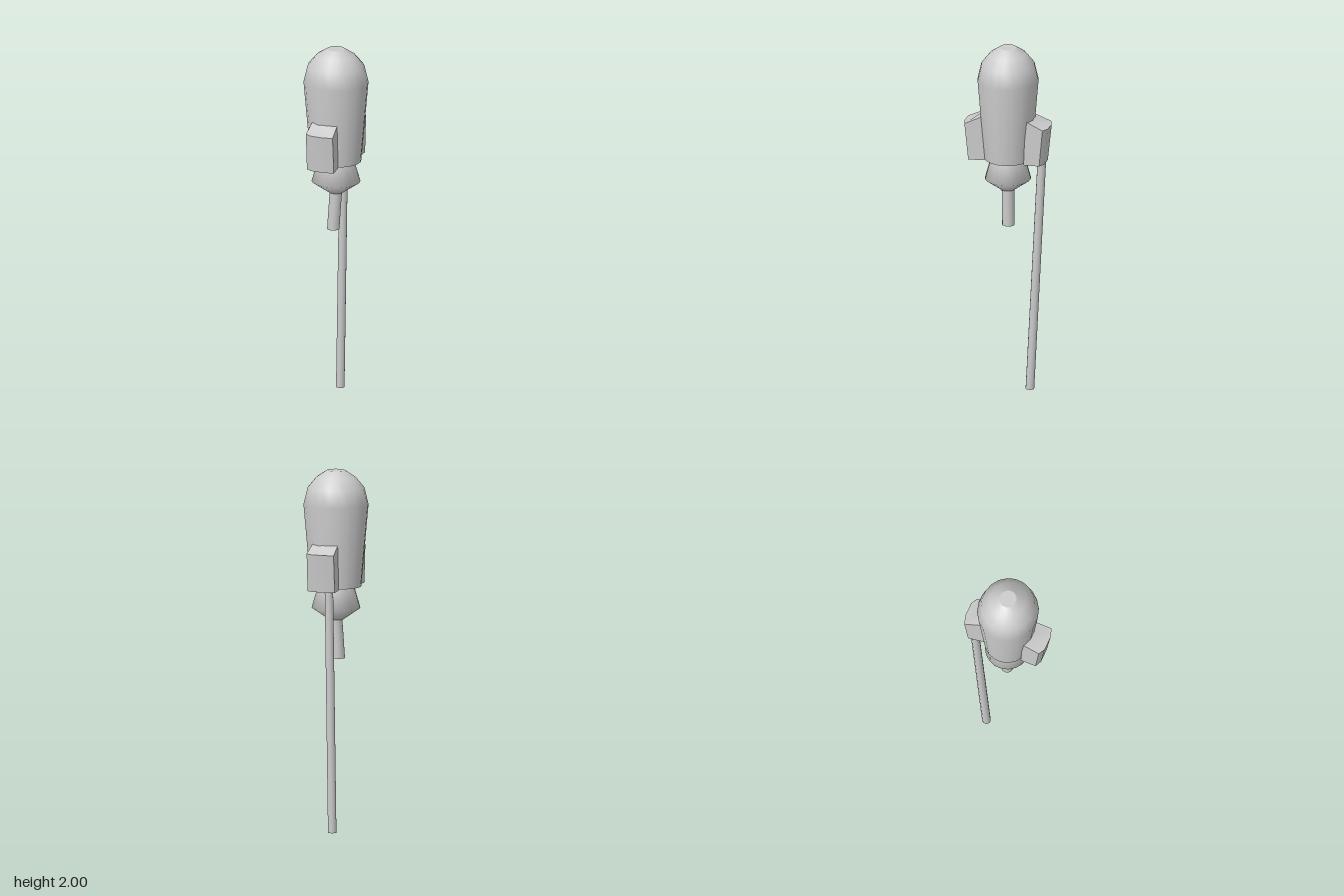
import * as THREE from 'three';
import { toCreasedNormals } from 'three/addons/utils/BufferGeometryUtils.js';

const material = new THREE.MeshStandardMaterial({ color: 0xcccccc });

function mesh(name, geometry) {
  const m = new THREE.Mesh(geometry, material);
  m.name = name;
  return m;
}

// 20-sided turned part, slightly flattened front to back
function turned(name, profile) {
  const points = profile.map(([r, y]) => new THREE.Vector2(r, y));
  const geometry = new THREE.LatheGeometry(points, 20);
  geometry.scale(1, 1, 0.94);
  return mesh(name, geometry);
}

// Leaning rod whose ends stay level
function leaningRod(name, radius, bottom, top) {
  const height = top[1] - bottom[1];
  const geometry = new THREE.CylinderGeometry(radius, radius, height, 12);
  geometry.translate(0, height / 2, 0);
  const p = geometry.attributes.position;
  for (let i = 0; i < p.count; i++) {
    const t = p.getY(i) / height;
    p.setXYZ(i,
      p.getX(i) + bottom[0] + t * (top[0] - bottom[0]),
      p.getY(i) + bottom[1],
      p.getZ(i) + bottom[2] + t * (top[2] - bottom[2]));
  }
  return mesh(name, geometry);
}

// Curved block on the hull: tapers inward below, its top slopes up to the hull
function sideBlock(name) {
  const outline = [
    [0.052, 0.235], [0, 0.243], [-0.077, 0.231], [-0.11, 0.206],
    [-0.1, 0.11], [-0.05, 0.135], [0, 0.14], [0.05, 0.135],
  ];
  const shape = new THREE.Shape(outline.map(([x, z]) => new THREE.Vector2(x, z)));
  const geometry = new THREE.ExtrudeGeometry(shape, { depth: 0.21, bevelEnabled: false });
  geometry.rotateX(Math.PI / 2);
  geometry.translate(0, 1.56, 0);
  const p = geometry.attributes.position;
  for (let i = 0; i < p.count; i++) {
    if (p.getY(i) < 1.4) p.setZ(i, p.getZ(i) * 0.91);
    else if (p.getZ(i) < 0.18) p.setY(i, 1.605);
  }
  return mesh(name, toCreasedNormals(geometry, 0.6));
}

export function createModel() {
  const model = new THREE.Group();
  model.name = 'rocket';

  // Hull with flat nose and base
  model.add(turned('hull', [[0.14, 1.355], [0.18, 1.81], [0.157, 1.905], [0.108, 1.963], [0.05, 2]]));
  model.add(turned('noseCap', [[0.05, 2], [0, 2]]));
  model.add(turned('hullBase', [[0, 1.355], [0.14, 1.355]]));

  // Flared nozzle and the fuse below it
  model.add(turned('nozzle', [[0, 1.17], [0.04, 1.17], [0.135, 1.235], [0.1, 1.356]]));
  model.add(leaningRod('fuse', 0.035, [-0.016, 0.955, 0], [0.001, 1.2, 0]));

  // Blocks front and back
  const back = sideBlock('backBlock');
  back.rotation.y = Math.PI;
  model.add(sideBlock('frontBlock'), back);

  // Long guide stick under the back block
  model.add(leaningRod('stick', 0.024, [-0.012, 0, -0.12], [-0.012, 1.36, -0.187]));

  return model;
}
